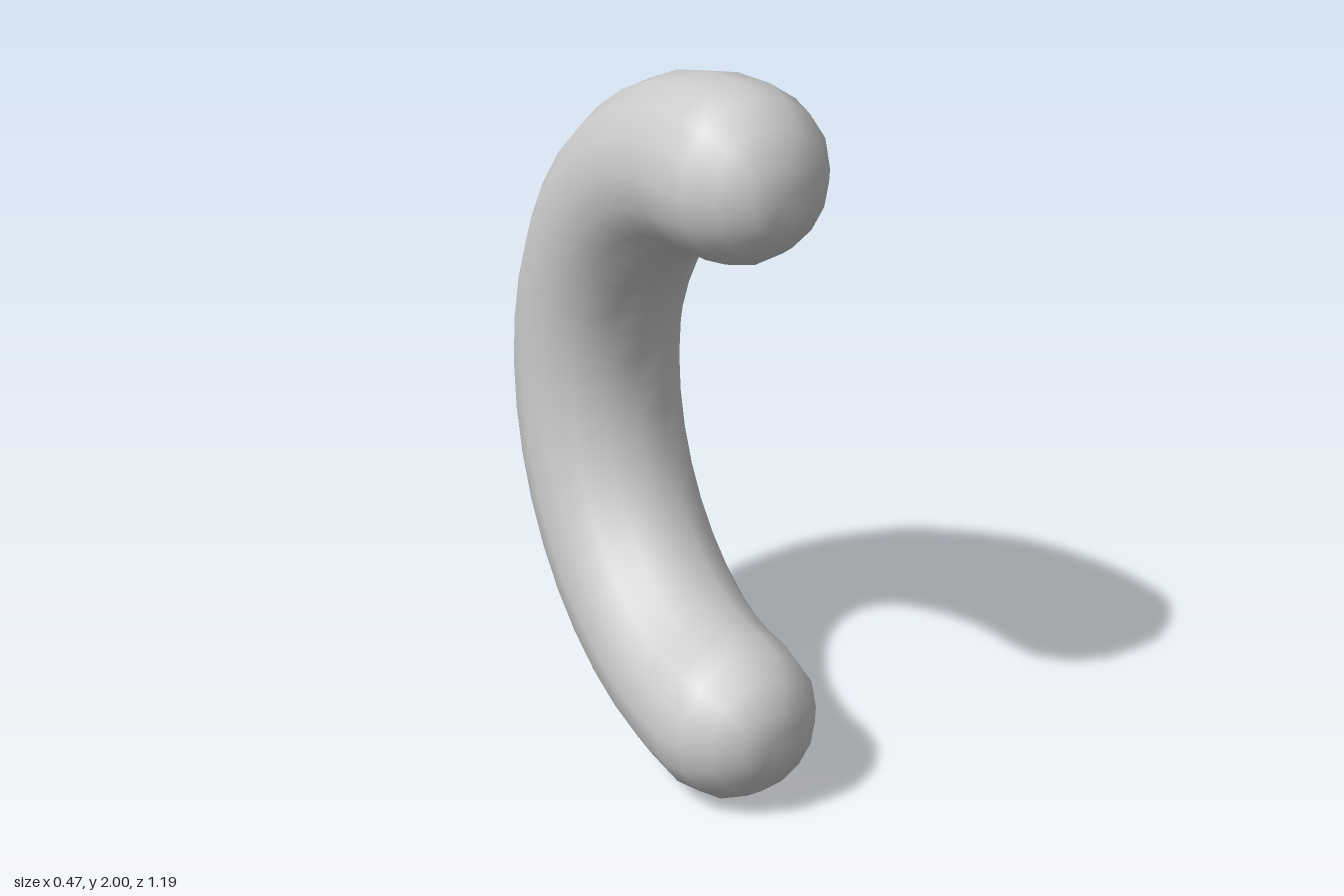
import * as THREE from 'three';

const SIDES = 16, STEPS = 20, TUBE = 0.233;
const ARC_Y = 0.767, ARC_Z = 0.748, CENTRE_Z = 0.385;

// One cross-section of the bend: centre, outward direction and radius
function arcSection(t) {
  return {
    centre: new THREE.Vector3(0, 1 + ARC_Y * Math.cos(t), CENTRE_Z - ARC_Z * Math.sin(t)),
    out: new THREE.Vector3(0, Math.cos(t), -Math.sin(t)),
    radius: TUBE,
  };
}

// Rounded end sections, from the bend to the small flat tip
function capSections(sign) {
  return [1, 2, 3].map((k) => {
    const a = (k * Math.PI) / 8;
    return {
      centre: new THREE.Vector3(0, 1 + sign * (ARC_Y - 0.012 * (k / 3) ** 2), CENTRE_Z + 0.228 * Math.sin(a)),
      out: new THREE.Vector3(0, sign, 0),
      radius: TUBE * Math.cos(a),
    };
  });
}

// Skin the sections with closed rings and smooth normals
function loft(sections) {
  const pos = [], index = [];
  const side = new THREE.Vector3(1, 0, 0);
  for (const { centre, out, radius } of sections) {
    for (let j = 0; j < SIDES; j++) {
      const a = (j / SIDES) * Math.PI * 2;
      const p = centre.clone()
        .addScaledVector(out, radius * Math.cos(a))
        .addScaledVector(side, radius * Math.sin(a));
      pos.push(p.x, p.y, p.z);
    }
  }
  const last = sections.length - 1;
  const first = pos.length / 3;
  for (const s of [sections[0], sections[last]]) pos.push(...s.centre.toArray());
  for (let j = 0; j < SIDES; j++) {
    const k = (j + 1) % SIDES;
    for (let i = 0; i < last; i++) {
      const a = i * SIDES, b = a + SIDES;
      index.push(a + j, a + k, b + k, a + j, b + k, b + j);
    }
    // Flat tips
    index.push(first, k, j, first + 1, last * SIDES + j, last * SIDES + k);
  }
  const geo = new THREE.BufferGeometry();
  geo.setAttribute('position', new THREE.Float32BufferAttribute(pos, 3));
  geo.setIndex(index);
  geo.computeVertexNormals();
  return geo;
}

export function createModel() {
  const group = new THREE.Group();
  group.name = 'curvedHandle';

  // Half-round bar with rounded ends facing forward
  const sections = capSections(1).reverse();
  for (let i = 0; i <= STEPS; i++) sections.push(arcSection((i / STEPS) * Math.PI));
  sections.push(...capSections(-1));

  const bar = new THREE.Mesh(loft(sections), new THREE.MeshStandardMaterial({ color: 0xcccccc }));
  bar.name = 'bentBar';
  group.add(bar);
  return group;
}
